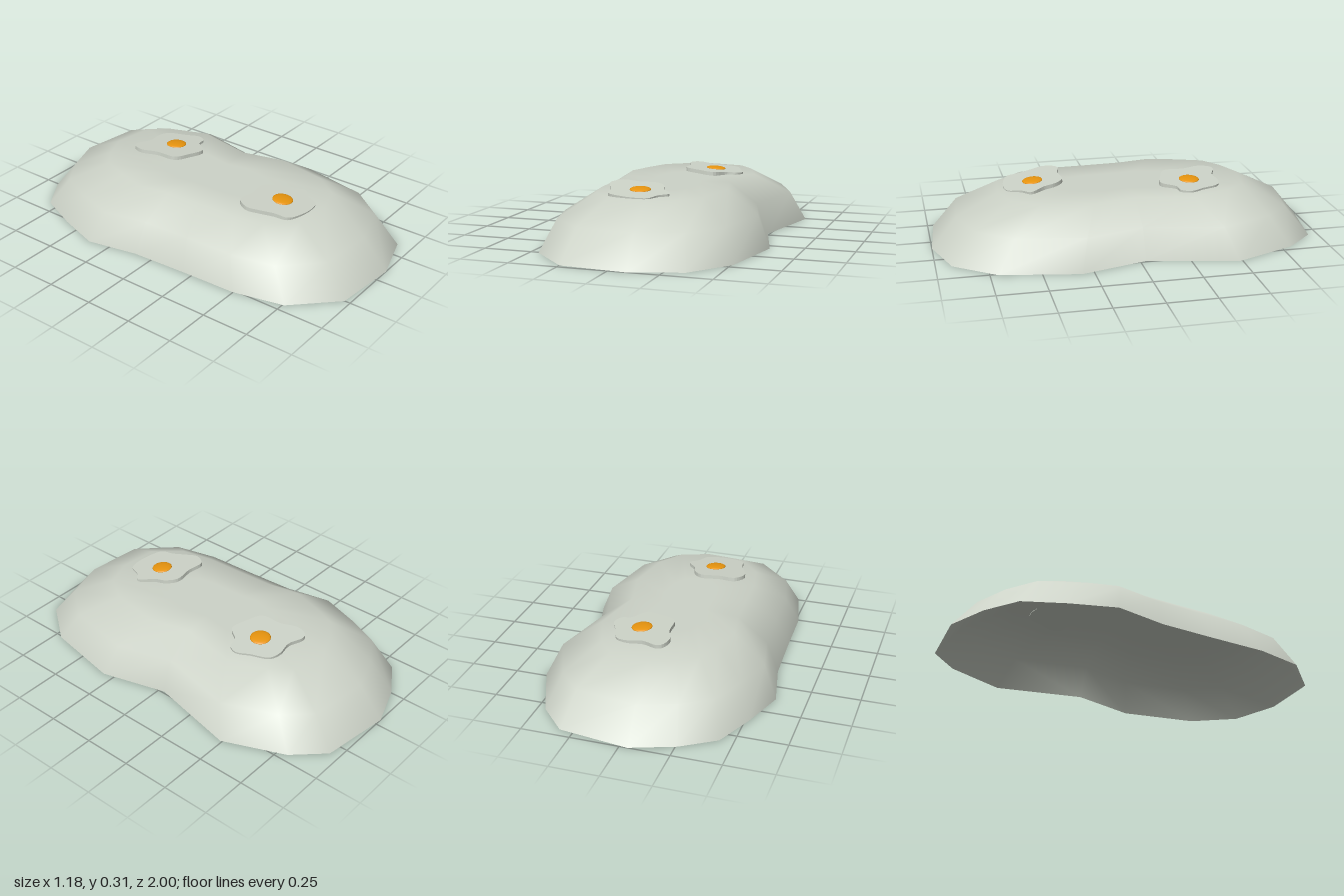
import * as THREE from 'three';

// Footprint of the mound as [x, z] corners, clockwise from above
const FOOTPRINT = [
  [-0.04, -1], [0.32, -0.95], [0.46, -0.8], [0.59, -0.49], [0.49, -0.03], [0.585, 0.31],
  [0.51, 0.71], [0.35, 0.92], [0.09, 1], [-0.25, 0.97], [-0.455, 0.76], [-0.515, 0.5],
  [-0.525, 0.2], [-0.54, -0.1], [-0.595, -0.37], [-0.52, -0.6], [-0.43, -0.81], [-0.26, -0.92],
];

// Each ring: height, x scale, z scale
const RINGS = [[0, 1, 1], [0.157, 0.875, 0.87], [0.265, 0.575, 0.65], [0.265, 0.25, 0.32]];

// Wavy edges of the two egg whites, [x, z] relative to the yolk
const FRONT_EDGE = [
  [-0.19, -0.09], [-0.15, -0.155], [-0.06, -0.145], [0.04, -0.152], [0.09, -0.105], [0.11, -0.045], [0.162, 0.03],
  [0.12, 0.075], [0.09, 0.14], [0.04, 0.155], [-0.06, 0.145], [-0.125, 0.115], [-0.14, 0.045], [-0.17, -0.025],
];
const BACK_EDGE = [
  [-0.18, -0.1], [-0.16, -0.16], [-0.13, -0.17], [-0.05, -0.14], [0.03, -0.15], [0.09, -0.13], [0.13, -0.04],
  [0.162, 0.03], [0.14, 0.08], [0.09, 0.09], [0.03, 0.16], [-0.06, 0.14], [-0.14, 0.1], [-0.15, -0.01],
];

// Open-bottomed shell made of scaled rings closed by a flat top
function moundGeometry() {
  const n = FOOTPRINT.length;
  const positions = [];
  const index = [];
  for (const [y, sx, sz] of RINGS) {
    for (const [x, z] of FOOTPRINT) positions.push(x * sx, y, z * sz);
  }
  positions.push(0, 0.265, 0);
  const centre = RINGS.length * n;
  for (let r = 0; r < RINGS.length; r++) {
    for (let i = 0; i < n; i++) {
      const a = r * n + i;
      const b = r * n + (i + 1) % n;
      if (r === RINGS.length - 1) index.push(a, centre, b);
      else index.push(a, a + n, b, b, a + n, b + n);
    }
  }
  const geometry = new THREE.BufferGeometry();
  geometry.setAttribute('position', new THREE.Float32BufferAttribute(positions, 3));
  geometry.setIndex(index);
  geometry.computeVertexNormals();
  return geometry;
}

// Thin wavy egg white with a flattened yolk on it
function makeEgg(name, edge, white, yolkColour) {
  const egg = new THREE.Group();
  egg.name = name;
  const curve = new THREE.CatmullRomCurve3(edge.map(([x, z]) => new THREE.Vector3(x, -z, 0)), true);
  const shape = new THREE.Shape(curve.getPoints(70).slice(0, -1).map((p) => new THREE.Vector2(p.x, p.y)));
  const slab = new THREE.ExtrudeGeometry(shape, { depth: 0.02, bevelEnabled: false });
  slab.rotateX(-Math.PI / 2);
  const eggWhite = new THREE.Mesh(slab, white);
  eggWhite.name = 'eggWhite';
  const yolk = new THREE.Mesh(new THREE.SphereGeometry(0.053, 28, 14), yolkColour);
  yolk.name = 'yolk';
  yolk.scale.y = 0.2;
  yolk.position.y = 0.02;
  egg.add(eggWhite, yolk);
  return egg;
}

export function createModel() {
  const model = new THREE.Group();
  model.name = 'moundWithEggs';
  const pale = new THREE.MeshStandardMaterial({ color: 0xcdd3c8, side: THREE.DoubleSide });
  pale.name = 'paleGrey';
  const orange = new THREE.MeshStandardMaterial({ color: 0xec970f });
  orange.name = 'yolkOrange';

  const mound = new THREE.Mesh(moundGeometry(), pale);
  mound.name = 'mound';

  // Eggs lie slightly tilted, dipping into the top
  const frontEgg = makeEgg('frontEgg', FRONT_EDGE, pale, orange);
  frontEgg.position.set(-0.04, 0.266, 0.455);
  frontEgg.rotation.set(0.09, 0, -0.035);
  const backEgg = makeEgg('backEgg', BACK_EDGE, pale, orange);
  backEgg.position.set(0.11, 0.265, -0.35);
  backEgg.rotation.set(-0.02, 0, -0.07);

  model.add(mound, frontEgg, backEgg);
  return model;
}
